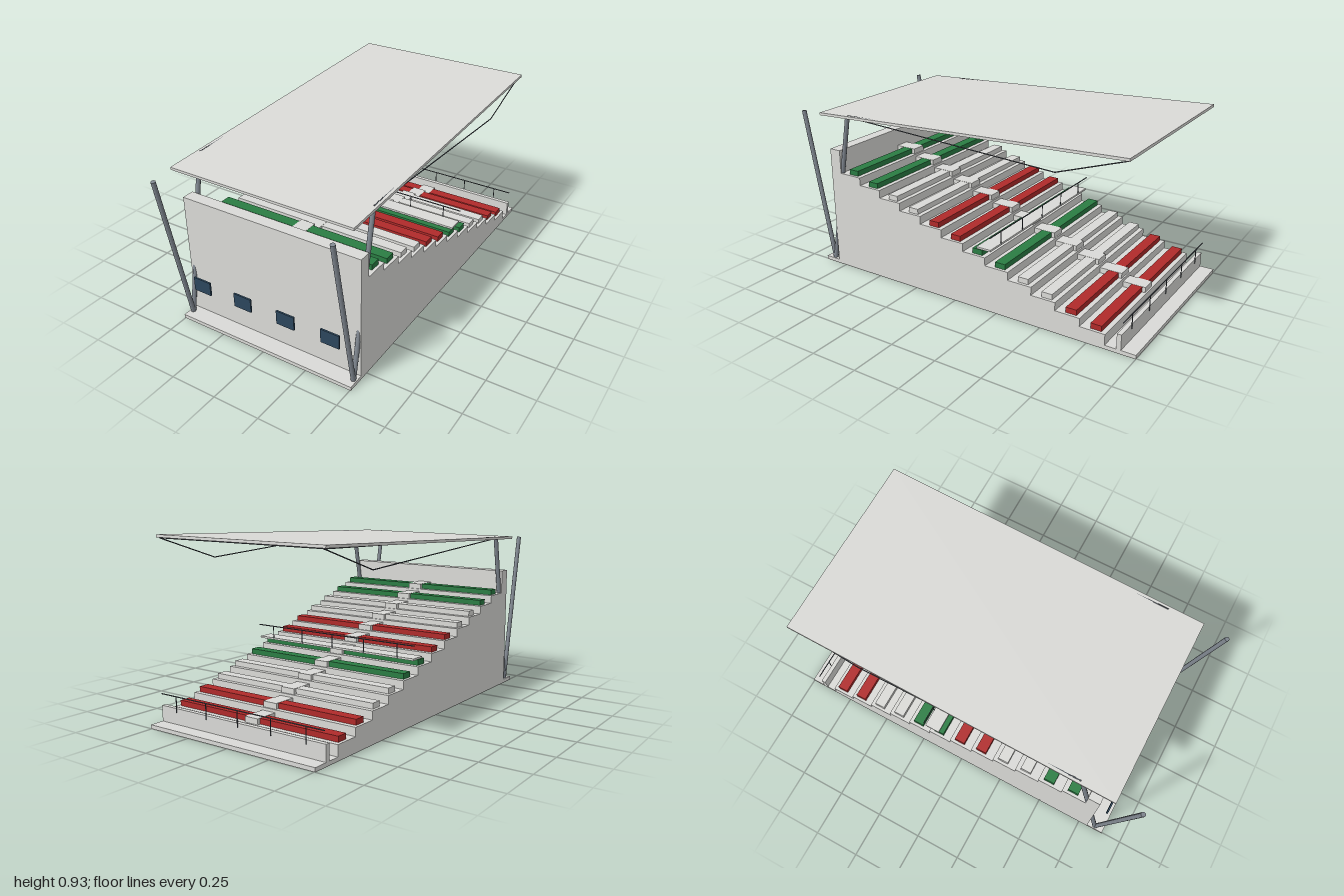
import * as THREE from 'three';

const mat = (name, color) => {
  const m = new THREE.MeshStandardMaterial({ color });
  m.name = name;
  return m;
};

export function createModel() {
  const group = new THREE.Group();
  const concrete = mat('concrete', 0xdadad7);
  const steel = mat('steel', 0x7f868f);
  const darkSteel = mat('darkSteel', 0x4a5058);
  const glass = mat('glass', 0x2c465c);
  const red = mat('redSeat', 0xb02a2a);
  const green = mat('greenSeat', 0x2a7d43);

  const add = (name, geometry, material) => {
    const m = new THREE.Mesh(geometry, material);
    m.name = name;
    group.add(m);
    return m;
  };
  // box given by its limits on each axis
  const box = (name, material, x0, x1, y0, y1, z0, z1) => {
    const g = new THREE.BoxGeometry(x1 - x0, y1 - y0, z1 - z0);
    g.translate((x0 + x1) / 2, (y0 + y1) / 2, (z0 + z1) / 2);
    return add(name, g, material);
  };
  // round bar between two points
  const bar = (name, material, a, b, r, sides = 8) => {
    const p = new THREE.Vector3(...a), q = new THREE.Vector3(...b);
    const d = q.clone().sub(p);
    const m = add(name, new THREE.CylinderGeometry(r, r, d.length(), sides), material);
    m.position.copy(p).add(q).multiplyScalar(0.5);
    m.quaternion.setFromUnitVectors(new THREE.Vector3(0, 1, 0), d.normalize());
    return m;
  };

  const W = 0.505, rows = 12, pitch = 0.1315, drop = 0.0425;
  const rowZ = (i) => 0.735 - pitch * i;
  const treadY = (i) => 0.543 - drop * i;

  // ground slab
  box('baseSlab', concrete, -W, W, 0, 0.02, -1, 0.89);

  // stepped stand with its high wall, extruded across the width
  const profile = new THREE.Shape();
  profile.moveTo(0.8, 0.01);
  profile.lineTo(0.8, 0.67);
  profile.lineTo(rowZ(0), 0.67);
  for (let i = 0; i < rows; i++) {
    profile.lineTo(rowZ(i), treadY(i));
    profile.lineTo(rowZ(i + 1), treadY(i));
  }
  profile.lineTo(rowZ(rows), 0.01);
  const standGeo = new THREE.ExtrudeGeometry(profile, { depth: 2 * W, bevelEnabled: false });
  standGeo.rotateY(-Math.PI / 2).translate(W, 0, 0);
  add('steppedStand', standGeo, concrete);

  // benches in pairs of rows, split by the central aisle steps
  const benchColours = [green, concrete, red];
  for (let i = 0; i < rows; i++) {
    const z = rowZ(i), y = treadY(i);
    const colour = benchColours[Math.floor(i / 2) % 3];
    for (const [x0, x1] of [[-0.49, -0.04], [0.04, 0.49]])
      box('bench', colour, x0, x1, y, y + 0.028, z - 0.107, z - 0.05);
    box('aisleStep', concrete, -0.04, 0.04, y, y + 0.029, z - 0.124, z - 0.002);
  }

  // railing with five posts
  const railing = (z, y0, y1) => {
    bar('handrail', darkSteel, [-0.5, y1, z], [0.5, y1, z], 0.003);
    for (let i = -2; i <= 2; i++)
      bar('railPost', darkSteel, [i * 0.2, y0, z], [i * 0.2, y1, z], 0.0025);
  };
  box('lowParapet', concrete, -W, W, 0.02, 0.1, -0.925, -0.902);
  railing(-0.928, 0.08, 0.16);
  box('walkway', concrete, -0.495, 0.495, 0.321, 0.331, -0.212, -0.13);
  railing(-0.211, 0.325, 0.395);

  // window panels standing off the front wall
  for (const x of [-0.38, -0.128, 0.126, 0.377])
    box('window', glass, x - 0.051, x + 0.051, 0.191, 0.266, 0.857, 0.866);

  // sloping roof
  const rise = 0.075, run = 1.776;
  const roof = add('roof', new THREE.BoxGeometry(2 * W, 0.014, Math.hypot(run, rise)), concrete);
  roof.position.set(0, 0.89, -0.031);
  roof.rotation.x = Math.atan2(rise, run);

  // V columns and roof trusses on both sides
  for (const s of [-1, 1]) {
    const x = s * 0.488;
    bar('outerColumn', steel, [x, 0.015, 0.84], [x, 0.848, 0.989], 0.012, 16);
    bar('innerColumn', steel, [x, 0.015, 0.84], [x, 0.855, 0.677], 0.012, 16);
    bar('trussTopChord', darkSteel, [x, 0.865, 0.67], [x, 0.9185, -0.912], 0.004);
    bar('trussLowerChord', darkSteel, [x, 0.859, 0.67], [x, 0.798, -0.555], 0.0028);
    bar('trussTie', darkSteel, [x, 0.798, -0.555], [x, 0.918, -0.912], 0.0028);
  }
  bar('roofCrossBar', darkSteel, [-0.488, 0.917, -0.895], [0.488, 0.917, -0.895], 0.003);

  return group;
}
